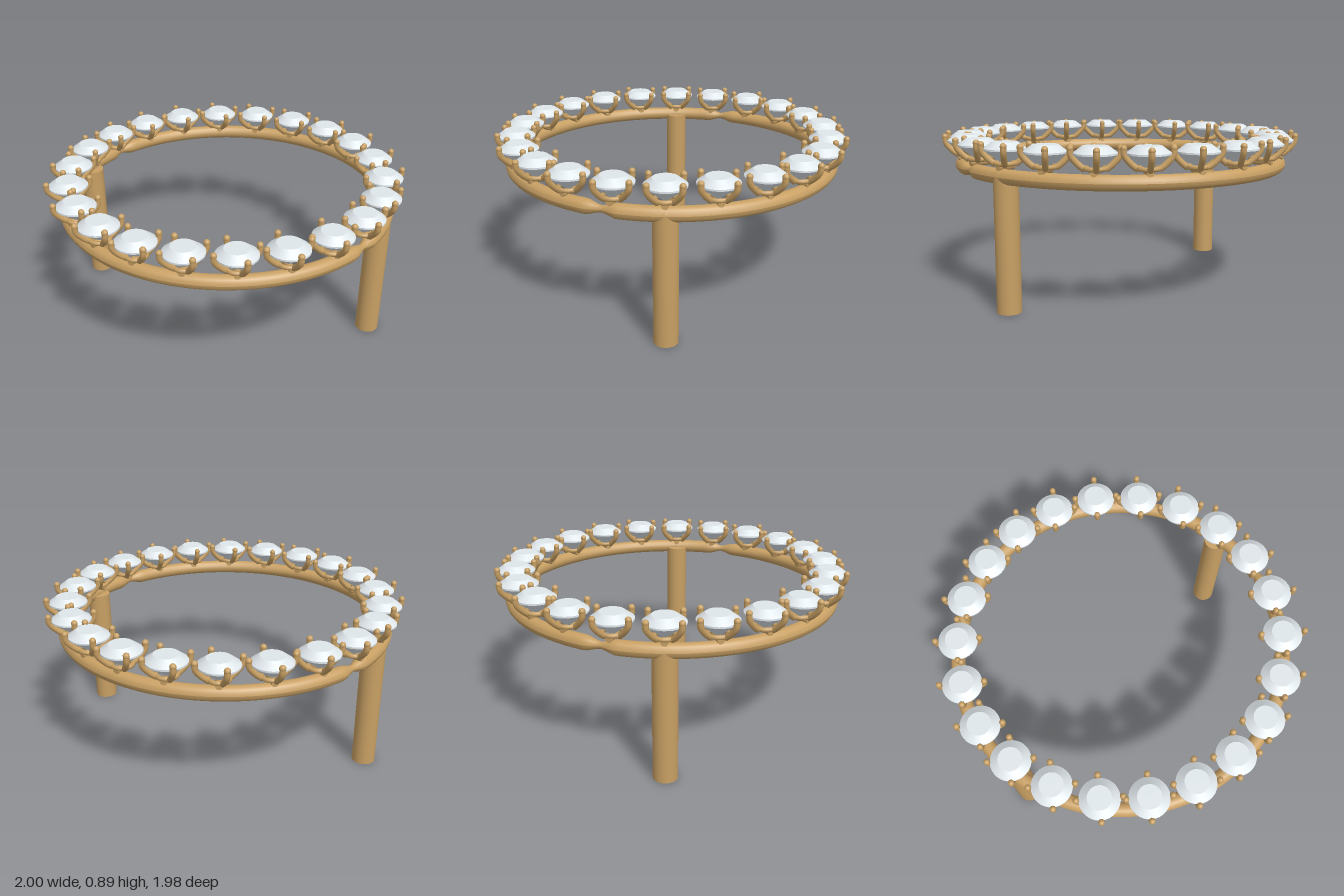
import * as THREE from 'three';
import { toCreasedNormals } from 'three/addons/utils/BufferGeometryUtils.js';

const GEMS = 22, GEM_RADIUS = 0.89;
const BAND_RADIUS = 0.915, BAND_TUBE = 0.04, BAND_Y = 0.713;

const gold = new THREE.MeshStandardMaterial({ color: 0xc8a064 });
const stone = new THREE.MeshStandardMaterial({ color: 0xdfe6ea });

function part(name, geometry, material) {
  const mesh = new THREE.Mesh(geometry, material);
  mesh.name = name;
  return mesh;
}

// Round band, necked in at two opposite joints
function bandGeometry() {
  const geo = new THREE.TorusGeometry(BAND_RADIUS, BAND_TUBE, 16, 240).rotateX(Math.PI / 2);
  const pos = geo.attributes.position;
  const joint = 0.345, halfWidth = 0.085;
  for (let i = 0; i < pos.count; i++) {
    const x = pos.getX(i), y = pos.getY(i), z = pos.getZ(i);
    let a = Math.atan2(z, x);
    if (a < 0) a += Math.PI;
    const d = Math.abs(a - joint);
    if (d >= halfWidth) continue;
    const k = 0.4 + 0.6 * d / halfWidth;
    const r = Math.hypot(x, z);
    const f = (BAND_RADIUS + (r - BAND_RADIUS) * k) / r;
    pos.setXYZ(i, x * f, y * k, z * f);
  }
  geo.computeVertexNormals();
  return geo;
}

// Round brilliant: flat table, sloped crown, thin girdle, pointed pavilion
function gemGeometry() {
  const profile = [[0, 0.765], [0.108, 0.845], [0.108, 0.854], [0.064, 0.887], [0, 0.887]]
    .map(([r, y]) => new THREE.Vector2(r, y));
  return toCreasedNormals(new THREE.LatheGeometry(profile, 32), 0.35);
}

// Prong rising outward from the basket, then straight up past the girdle
function prongGeometry() {
  const path = new THREE.CatmullRomCurve3([
    new THREE.Vector3(0.05, 0.772, 0),
    new THREE.Vector3(0.085, 0.80, 0),
    new THREE.Vector3(0.117, 0.84, 0),
    new THREE.Vector3(0.12, 0.875, 0),
  ]);
  return new THREE.TubeGeometry(path, 10, 0.016, 8);
}

export function createModel() {
  const model = new THREE.Group();
  model.name = 'gemRing';

  const band = part('band', bandGeometry(), gold);
  band.position.y = BAND_Y;
  model.add(band);

  // Two straight posts
  const postGeo = new THREE.CylinderGeometry(0.065, 0.065, BAND_Y, 32);
  for (const side of [-1, 1]) {
    const post = part(side > 0 ? 'leftPost' : 'rightPost', postGeo, gold);
    post.position.set(side * 0.89, BAND_Y / 2, 0);
    model.add(post);
  }

  // Gems in four-prong settings
  const gemGeo = gemGeometry();
  const prongGeo = prongGeometry();
  const tipGeo = new THREE.SphereGeometry(0.017, 10, 8);
  const basketGeo = new THREE.TorusGeometry(0.052, 0.012, 8, 24).rotateX(Math.PI / 2);
  const barGeo = new THREE.CylinderGeometry(0.018, 0.018, 0.1, 12).rotateZ(Math.PI / 2);

  for (let i = 0; i < GEMS; i++) {
    const a = (i / GEMS) * Math.PI * 2;
    const setting = new THREE.Group();
    setting.name = 'gemSetting';
    setting.position.set(Math.cos(a) * GEM_RADIUS, 0, Math.sin(a) * GEM_RADIUS);
    setting.add(part('gem', gemGeo, stone));

    const basket = part('basketRing', basketGeo, gold);
    basket.position.y = 0.778;
    setting.add(basket);

    // Short bar tying the basket to the band
    const bar = part('supportBar', barGeo, gold);
    bar.position.y = 0.76;
    bar.rotation.y = -a;
    setting.add(bar);

    for (let k = 0; k < 4; k++) {
      const prong = new THREE.Group();
      prong.name = 'prong';
      prong.rotation.y = Math.PI / 4 + k * Math.PI / 2;
      const tip = part('prongTip', tipGeo, gold);
      tip.position.set(0.12, 0.874, 0);
      prong.add(part('prongWire', prongGeo, gold), tip);
      setting.add(prong);
    }
    model.add(setting);
  }
  return model;
}
